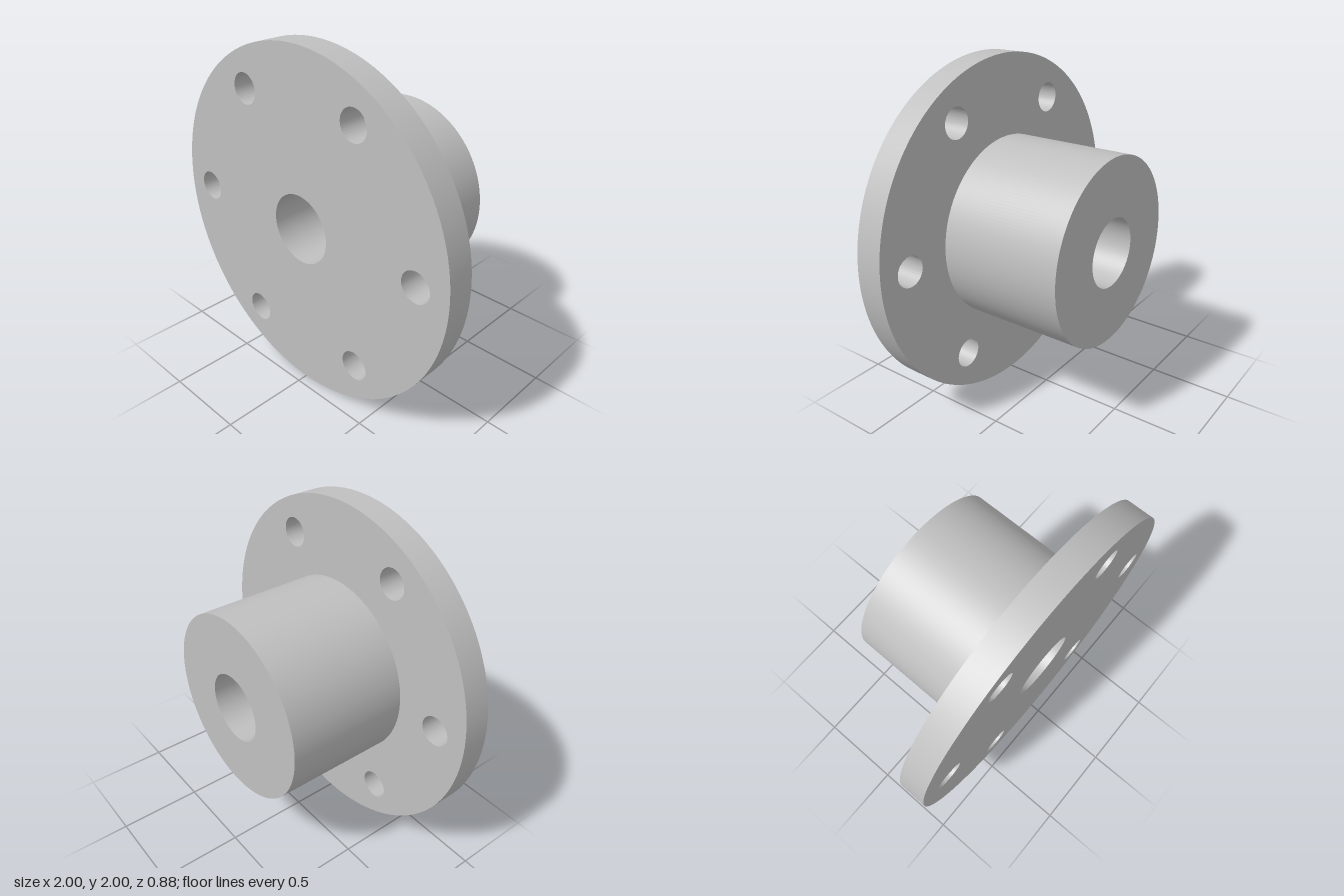
import * as THREE from 'three';
import { toCreasedNormals } from 'three/addons/utils/BufferGeometryUtils.js';

const BORE_RADIUS = 0.2;
const FLANGE_BACK = 0.28;

// Round disc along z with circular through-holes given as [x, y, radius]
function drilledDisc(radius, holes, zBack, zFront) {
  const shape = new THREE.Shape().absarc(0, 0, radius, 0, Math.PI * 2, false);
  for (const [x, y, r] of holes) {
    shape.holes.push(new THREE.Path().absarc(x, y, r, 0, Math.PI * 2, true));
  }
  const geometry = new THREE.ExtrudeGeometry(shape, {
    depth: zFront - zBack, bevelEnabled: false, curveSegments: 96,
  });
  geometry.translate(0, 1, zBack);
  return toCreasedNormals(geometry, Math.PI / 6);
}

export function createModel() {
  const model = new THREE.Group();
  model.name = 'flangedHub';
  const steel = new THREE.MeshStandardMaterial({ color: 0xc0c0c0 });
  steel.name = 'light grey steel';

  const bore = [0, 0, BORE_RADIUS];

  // Six bolt holes evenly spaced on the bolt circle
  const boltHoles = Array.from({ length: 6 }, (_, i) => {
    const a = (i * Math.PI) / 3;
    return [0.8 * Math.cos(a), 0.8 * Math.sin(a), 0.087];
  });

  // Wide front plate
  const flange = new THREE.Mesh(drilledDisc(1, [bore, ...boltHoles], FLANGE_BACK, 0.44), steel);
  flange.name = 'flange';

  // Thick boss behind the plate
  const hub = new THREE.Mesh(drilledDisc(0.54, [bore], -0.44, FLANGE_BACK), steel);
  hub.name = 'hub';

  model.add(flange, hub);
  return model;
}
